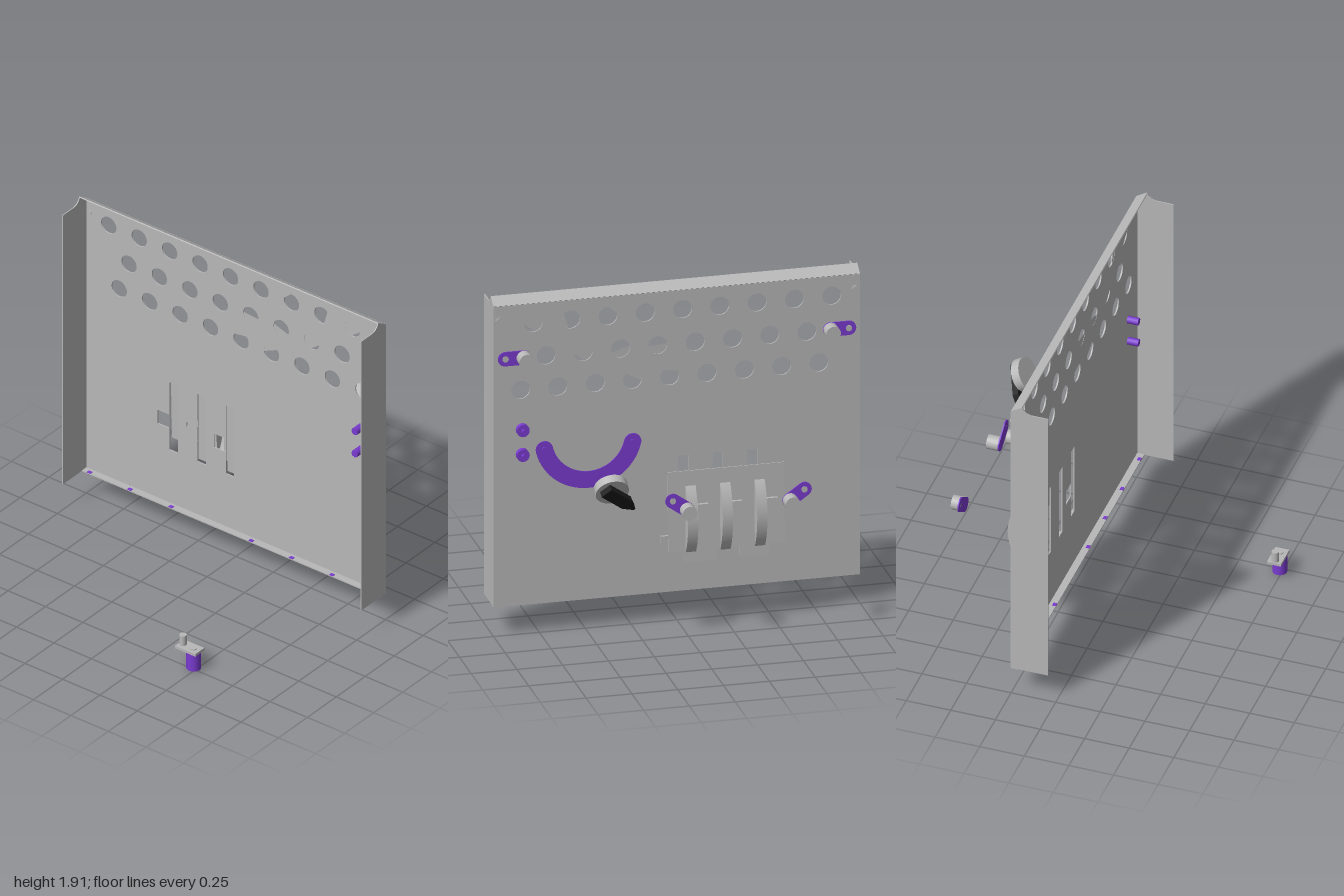
import * as THREE from 'three';

const mat = (name, color) => {
  const m = new THREE.MeshStandardMaterial({ color, side: THREE.DoubleSide });
  m.name = name;
  return m;
};
const rad = THREE.MathUtils.degToRad;
const BACK = -0.252; // rear face of the sheet panel

export function createModel() {
  const root = new THREE.Group();
  root.name = 'controlPanel';
  const grey = mat('sheetGrey', 0xb8b8b8);
  const purple = mat('purple', 0x7a3bd0);
  const black = mat('black', 0x1c1c1c);

  const add = (name, geo, material, x = 0, y = 0, z = 0, parent = root) => {
    const m = new THREE.Mesh(geo, material);
    m.name = name;
    m.position.set(x, y, z);
    parent.add(m);
    return m;
  };
  const box = (name, w, h, d, material, x, y, z, parent) =>
    add(name, new THREE.BoxGeometry(w, h, d), material, x, y, z, parent);
  // Cylinder lying along z, between z0 and z1
  const rod = (name, r, z0, z1, material, x, y, parent, sides = 24) => {
    const g = new THREE.CylinderGeometry(r, r, Math.abs(z1 - z0), sides).rotateX(Math.PI / 2);
    return add(name, g, material, x, y, (z0 + z1) / 2, parent);
  };
  const extrude = (shape, depth) =>
    new THREE.ExtrudeGeometry(shape, { depth, bevelEnabled: false, curveSegments: 24 });
  const poly = (pts) => new THREE.Shape(pts.map((p) => new THREE.Vector2(...p)));
  const rect = (x0, y0, x1, y1) => poly([[x0, y0], [x1, y0], [x1, y1], [x0, y1]]);
  // Side profile drawn as (distance backwards, height), extruded along +x
  const sideProfile = (shape, width) => extrude(shape, width).rotateY(Math.PI / 2);

  // Main panel with rows of round holes, lever slots and square windows
  const slots = [-0.412, -0.224, -0.035];
  const windows = [-0.48, -0.288, -0.102];
  const rows = [
    { x: -0.845, y: 1.757, n: 9 },
    { x: -0.71, y: 1.566, n: 8 },
    { x: -0.775, y: 1.384, n: 9 },
  ];
  const step = 0.2035, holeR = 0.051;
  const panel = rect(-1, 0.166, 1, 1.866);
  for (const r of rows) {
    for (let i = 0; i < r.n; i++) {
      panel.holes.push(new THREE.Path().absarc(r.x + i * step, r.y, holeR, 0, Math.PI * 2));
    }
  }
  for (const x of slots) panel.holes.push(rect(x - 0.028, 0.5, x + 0.028, 0.928));
  for (const x of windows) panel.holes.push(rect(x - 0.038, 0.635, x + 0.038, 0.722));
  add('panel', extrude(panel, 0.008), grey, 0, 0, BACK);

  // Sheet flaps closing part of some holes: row, index, start and end angle
  const flaps = [
    [0, 6, 95, 170], [0, 7, -77, 45], [0, 8, -5, 260],
    [1, 4, 175, 355], [1, 5, 168, 335], [1, 6, -5, 260],
    [2, 4, 45, 150], [2, 5, 42, 188],
  ];
  for (const [row, i, a, b] of flaps) {
    const s = new THREE.Shape().absarc(0, 0, holeR, rad(a), rad(b));
    add('holeFlap', new THREE.ShapeGeometry(s, 24), grey, rows[row].x + i * step, rows[row].y, -0.2455);
  }

  // Folded lips and side flanges
  box('topLip', 2, 0.006, 0.071, grey, 0, 1.884, -0.218).rotation.x = -0.565;
  box('bottomLip', 2, 0.006, 0.045, grey, 0, 0.166, -0.227);
  const flange = poly([
    [0.042, 0.166], [0.25, 0.166], [0.25, 1.864], [0.188, 1.905],
    [0.178, 1.885], [0.162, 1.871], [0.14, 1.864], [0.042, 1.864],
  ]);
  for (const x of [-1, 0.994]) add('sideFlange', sideProfile(flange, 0.006), grey, x);

  // Corner screws and bottom markers
  for (const s of [-1, 1]) {
    rod('cornerScrew', 0.015, -0.24, -0.262, grey, s * 0.972, 1.785);
    rod('cornerScrewHead', 0.02, BACK, -0.257, grey, s * 0.972, 1.785);
  }
  for (const x of [-0.95, -0.68, -0.405, 0.13, 0.4, 0.67, 0.945]) {
    box('bottomMarker', 0.025, 0.009, 0.02, purple, x, 0.167, -0.215);
  }

  // Rear lugs below the lever slots
  for (const x of [-0.498, -0.228, 0.045]) box('lug', 0.09, 0.045, 0.016, grey, x, 0.463, -0.258);

  // Purple bushings passing through the panel
  for (const y of [1.16, 1.02]) {
    rod('bushingFront', 0.021, -0.182, -0.245, purple, 0.845, y, root, 8);
    rod('bushingBody', 0.035, -0.248, -0.28, purple, 0.845, y, root, 16);
    rod('bushingTip', 0.011, -0.28, -0.3, purple, 0.845, y, root, 12);
  }

  // Curved purple track with round ends
  const R = 0.247, w = 0.047, a0 = rad(-167), a1 = rad(-13);
  const track = new THREE.Shape();
  track.absarc(0, 0, R + w, a0, a1, false);
  track.absarc(R * Math.cos(a1), R * Math.sin(a1), w, a1, a1 + Math.PI, false);
  track.absarc(0, 0, R - w, a1, a0, true);
  track.absarc(R * Math.cos(a0), R * Math.sin(a0), w, a0 + Math.PI, a0 + 2 * Math.PI, false);
  add('curvedTrack', extrude(track, 0.005), purple, 0.483, 1.09, -0.257);
  for (const x of [0.243, 0.723]) rod('trackPivot', 0.015, -0.256, -0.263, purple, x, 1.035);

  // Crank links: a round-ended arm with a post at one end and a pivot at the other
  const link = (x, y, z, dx, dy) => {
    const g = new THREE.Group();
    g.name = 'crankLink';
    g.position.set(x, y, z);
    g.rotation.z = Math.atan2(dy, dx);
    root.add(g);
    const L = Math.hypot(dx, dy), r = 0.04;
    const s = new THREE.Shape();
    s.absarc(0, 0, r, Math.PI / 2, Math.PI * 1.5, false);
    s.absarc(L, 0, r, -Math.PI / 2, Math.PI / 2, false);
    add('linkArm', extrude(s, 0.007), purple, 0, 0, -0.007, g);
    rod('linkPost', 0.04, -0.007, -0.072, grey, 0, 0, g);
    rod('linkPivot', 0.017, 0, -0.011, grey, L, 0, g);
  };
  for (const s of [-1, 1]) {
    link(s * 0.837, 1.567, BACK, s * 0.1, 0);
    link(-0.227 + s * 0.281, 0.79, -0.676, s * 0.078, 0.055);
  }

  // Lever guide plate floating behind the slots
  const guide = new THREE.Group();
  guide.name = 'leverGuide';
  guide.position.set(-0.23, 0.65, -0.405);
  guide.rotation.x = 0.03;
  root.add(guide);
  const plate = poly([
    [-0.318, -0.2], [-0.23, -0.2], [-0.23, -0.265], [-0.07, -0.265], [-0.07, -0.2],
    [0.05, -0.2], [0.05, -0.265], [0.24, -0.265], [0.24, -0.2], [0.318, -0.2],
    [0.318, 0.248], [-0.318, 0.248],
  ]);
  for (const x of slots) plate.holes.push(rect(x + 0.206, -0.195, x + 0.254, 0.15));
  add('guidePlate', extrude(plate, 0.006), grey, 0, 0, -0.003, guide);

  // Hollow arched covers over the plate slots
  const fr = 0.331, fa = 0.611, fc = -0.271;
  const arch = new THREE.Shape();
  arch.absarc(fc, 0, fr, -fa, fa, false);
  arch.absarc(fc, 0, fr - 0.006, fa, -fa, true);
  const cheek = new THREE.Shape().absarc(fc, 0, fr, -fa, fa, false);
  for (const x of slots) {
    const lx = x + 0.23;
    add('leverArch', sideProfile(arch, 0.056), grey, lx - 0.028, -0.022, 0, guide);
    for (const o of [-0.028, 0.024]) {
      add('leverCheek', sideProfile(cheek, 0.004), grey, lx + o, -0.022, 0, guide);
    }
  }
  for (const x of windows) box('stopBlock', 0.065, 0.07, 0.02, grey, x + 0.235, 0.025, -0.012, guide);

  // Tilted dial with a black pointer
  const dial = new THREE.Group();
  dial.name = 'dial';
  dial.position.set(0.47, 0.95, -0.693);
  dial.rotation.x = rad(150);
  root.add(dial);
  rod('dialDisc', 0.09, -0.024, 0.024, grey, 0, 0, dial, 40);
  const pointer = poly([[-0.06, -0.036], [0.11, -0.036], [0.172, -0.006], [0.172, 0.006], [0.11, 0.036], [-0.06, 0.036]]);
  add('dialPointer', extrude(pointer, 0.036), black, 0, 0, 0.024, dial).rotation.z = rad(138);

  // Loose crank standing in front
  const stand = (name, r, y0, y1, m, x) =>
    add(name, new THREE.CylinderGeometry(r, r, y1 - y0, 24), m, x, (y0 + y1) / 2, 0.736);
  stand('crankBase', 0.04, 0, 0.105, purple, 0.48);
  box('crankArm', 0.135, 0.016, 0.078, grey, 0.453, 0.112, 0.736);
  stand('crankNub', 0.018, 0.118, 0.126, grey, 0.48);
  stand('crankPin', 0.02, 0.104, 0.18, grey, 0.409);

  return root;
}
